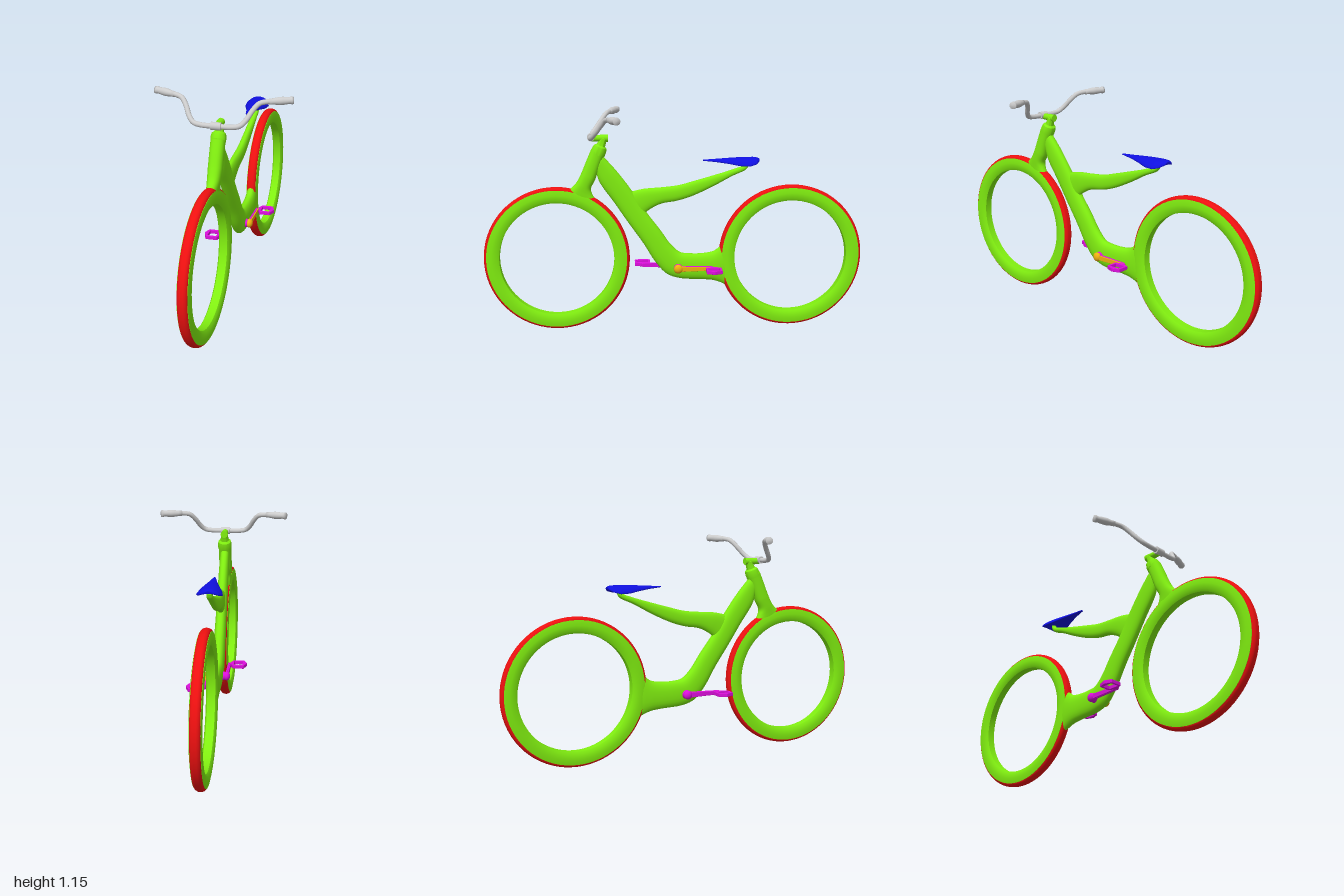
import * as THREE from 'three';
import { toCreasedNormals } from 'three/addons/utils/BufferGeometryUtils.js';

const V = (x, y, z) => new THREE.Vector3(x, y, z);
const mat = (color) => new THREE.MeshStandardMaterial({ color });
const green = mat(0x80ee10), red = mat(0xee1010), blue = mat(0x1010e0);
const magenta = mat(0xdd10dd), orange = mat(0xeeb010), grey = mat(0xcccccc);

function part(name, geometry, material, parent, pos = [0, 0, 0]) {
  const mesh = new THREE.Mesh(geometry, material);
  mesh.name = name;
  mesh.position.set(...pos);
  parent.add(mesh);
  return mesh;
}

// Smooth body through oval sections. Each station is
// [top z, top y, bottom z, bottom y, half width, droop of the sides].
function loft(stations, steps = 48, sides = 24) {
  const curve = (pick) => new THREE.CatmullRomCurve3(stations.map(pick), false, 'centripetal');
  const tops = curve((s) => V(0, s[1], s[0]));
  const bottoms = curve((s) => V(0, s[3], s[2]));
  const at = (k, t) => {
    const f = t * (stations.length - 1), i = Math.min(Math.floor(f), stations.length - 2);
    return THREE.MathUtils.lerp(stations[i][k] ?? 0, stations[i + 1][k] ?? 0, f - i);
  };
  const pos = [], index = [];
  for (let i = 0; i <= steps; i++) {
    const t = i / steps, top = tops.getPoint(t), bottom = bottoms.getPoint(t);
    const mid = top.clone().add(bottom).multiplyScalar(0.5), half = top.clone().sub(mid);
    for (let j = 0; j < sides; j++) {
      const a = (j / sides) * Math.PI * 2, c = Math.cos(a), s = Math.sin(a);
      const k = Math.sign(c) * Math.abs(c) ** 0.85, w = Math.sign(s) * Math.abs(s) ** 0.85;
      pos.push(w * at(4, t), mid.y + half.y * k - at(5, t) * s * s, mid.z + half.z * k);
    }
  }
  for (let i = 0; i < steps; i++) {
    for (let j = 0; j < sides; j++) {
      const a = i * sides + j, b = i * sides + (j + 1) % sides;
      index.push(a, b, a + sides, b, b + sides, a + sides);
    }
  }
  // end caps
  const last = steps * sides;
  for (let j = 1; j < sides - 1; j++) index.push(0, j + 1, j, last, last + j, last + j + 1);
  const geo = new THREE.BufferGeometry();
  geo.setAttribute('position', new THREE.Float32BufferAttribute(pos, 3));
  geo.setIndex(index);
  geo.computeVertexNormals();
  return geo;
}

// Ring about the x axis from a closed [radius, x] profile
function ring(profile) {
  const pts = [...profile, profile[0]].map(([r, x]) => new THREE.Vector2(r, x));
  return toCreasedNormals(new THREE.LatheGeometry(pts, 72).rotateZ(Math.PI / 2), 0.6);
}

function wheel(name, z) {
  const group = new THREE.Group();
  group.name = name;
  group.position.set(0, 0.382, z);
  part('rim', ring([[0.3, -0.02], [0.312, -0.027], [0.34, -0.031], [0.367, -0.026],
    [0.367, 0.026], [0.34, 0.031], [0.312, 0.027], [0.3, 0.02]]), green, group);
  const arc = [[0.35, -0.025]];
  for (let i = 0; i <= 10; i++) {
    const a = -Math.PI / 2 + (i / 10) * Math.PI;
    arc.push([0.364 + 0.018 * Math.cos(a), 0.025 * Math.sin(a)]);
  }
  arc.push([0.35, 0.025]);
  part('tread', ring(arc), red, group);
  return group;
}

// Tapered crank arm reaching backwards, extruded outwards along x
function armGeometry(length, r0, r1, depth) {
  const shape = new THREE.Shape();
  shape.absarc(0, 0, r0, Math.PI / 2, Math.PI * 1.5);
  shape.absarc(length, 0, r1, -Math.PI / 2, Math.PI / 2);
  return new THREE.ExtrudeGeometry(shape, { depth, bevelEnabled: true, bevelSize: 0.002,
    bevelThickness: 0.002, bevelSegments: 2, curveSegments: 12 }).rotateY(Math.PI / 2);
}

function crank(name, coverMaterial) {
  const group = new THREE.Group();
  group.name = name;
  group.position.set(0, 0.327, -0.018);
  part('hub', new THREE.CylinderGeometry(0.02, 0.026, 0.03, 24).rotateZ(-Math.PI / 2), magenta, group, [0.033, 0, 0]);
  part('hubCap', new THREE.SphereGeometry(0.024, 24, 12).scale(0.75, 1, 1), coverMaterial, group, [0.05, 0, 0]);
  part('crankArm', armGeometry(0.18, 0.014, 0.009, 0.006), magenta, group, [0.044, 0, 0]);
  part('crankArmCover', armGeometry(0.18, 0.012, 0.008, 0.003), coverMaterial, group, [0.053, 0, 0]);
  part('pedalAxle', new THREE.CylinderGeometry(0.006, 0.006, 0.025, 12).rotateZ(Math.PI / 2), magenta, group, [0.06, 0, -0.18]);
  // six-sided pedal with an open middle
  const outline = [[0.044, 0], [0.029, 0.039], [-0.029, 0.039], [-0.044, 0], [-0.029, -0.039], [0.029, -0.039]];
  const hole = [[0.025, 0.032], [0.025, -0.032], [-0.025, -0.032], [-0.025, 0.032]];
  const toPoints = (list) => list.map(([x, y]) => new THREE.Vector2(x, y));
  const shape = new THREE.Shape(toPoints(outline));
  shape.holes.push(new THREE.Path(toPoints(hole)));
  const pedal = new THREE.ExtrudeGeometry(shape, { depth: 0.014, bevelSize: 0.002, bevelThickness: 0.003, bevelSegments: 2 });
  part('pedal', pedal.translate(0, 0, -0.007).rotateX(Math.PI / 2), magenta, group, [0.098, 0, -0.185]);
  return group;
}

export function createModel() {
  const bike = new THREE.Group();
  bike.name = 'bicycle';
  bike.add(wheel('frontWheel', 0.618), wheel('rearWheel', -0.618));

  // Main frame from the head down to the cranks and back into the rear rim
  part('mainFrame', loft([
    [0.375, 0.93, 0.41, 0.86, 0.024], [0.3, 0.845, 0.39, 0.79, 0.027],
    [0.225, 0.745, 0.315, 0.68, 0.028], [0.15, 0.63, 0.245, 0.575, 0.029],
    [0.075, 0.53, 0.165, 0.46, 0.031], [0.02, 0.452, 0.1, 0.355, 0.032],
    [-0.03, 0.408, 0.04, 0.29, 0.032], [-0.08, 0.4, -0.03, 0.265, 0.031],
    [-0.15, 0.4, -0.15, 0.257, 0.03], [-0.21, 0.412, -0.21, 0.25, 0.03],
    [-0.245, 0.44, -0.26, 0.232, 0.029], [-0.273, 0.48, -0.297, 0.21, 0.027],
  ], 72), green, bike);

  // Cantilevered seat support
  part('seatSupport', loft([
    [0.23, 0.735, 0.18, 0.6, 0.02], [0.16, 0.75, 0.13, 0.64, 0.022],
    [0.07, 0.757, 0.07, 0.67, 0.022], [-0.02, 0.767, -0.01, 0.684, 0.021],
    [-0.1, 0.788, -0.09, 0.708, 0.02], [-0.2, 0.816, -0.2, 0.758, 0.018],
    [-0.3, 0.846, -0.3, 0.812, 0.017], [-0.365, 0.872, -0.378, 0.85, 0.016],
    [-0.375, 0.892, -0.392, 0.878, 0.014],
  ]), green, bike);

  // Saddle with drooping sides
  part('saddle', loft([
    [-0.15, 0.9, -0.15, 0.894, 0.006, 0], [-0.22, 0.904, -0.22, 0.888, 0.02, 0.004],
    [-0.28, 0.908, -0.28, 0.885, 0.037, 0.012], [-0.34, 0.911, -0.34, 0.884, 0.057, 0.023],
    [-0.39, 0.912, -0.39, 0.886, 0.064, 0.026], [-0.425, 0.911, -0.425, 0.888, 0.05, 0.017],
    [-0.442, 0.905, -0.442, 0.893, 0.022, 0.004],
  ]), blue, bike);

  // Fork and head tube, flaring into the front rim
  part('fork', loft([
    [0.36, 0.935, 0.428, 0.962, 0.035], [0.385, 0.872, 0.455, 0.9, 0.035],
    [0.412, 0.8, 0.485, 0.83, 0.035], [0.434, 0.752, 0.512, 0.782, 0.032],
    [0.425, 0.72, 0.54, 0.756, 0.029], [0.395, 0.672, 0.575, 0.736, 0.026],
  ]), green, bike);
  const collar = [[0, 0], [0.037, 0], [0.038, 0.025], [0.034, 0.042], [0.023, 0.05],
    [0.02, 0.07], [0.02, 0.088], [0.014, 0.096], [0, 0.098]];
  const collarGeo = new THREE.LatheGeometry(collar.map(([r, y]) => new THREE.Vector2(r, y)), 32);
  part('headCollar', toCreasedNormals(collarGeo, 0.6), green, bike, [0, 0.932, 0.397]).rotation.x = -0.37;

  // Stem and bar clamp
  part('stem', new THREE.CylinderGeometry(0.016, 0.019, 0.085, 20).rotateX(Math.PI / 2), green, bike, [0, 1.016, 0.385]);
  part('barClamp', new THREE.CylinderGeometry(0.019, 0.019, 0.05, 24).rotateZ(Math.PI / 2), grey, bike, [0, 1.022, 0.43]);

  // Swept handlebar
  const half = [[0.07, 1.022, 0.43], [0.112, 1.03, 0.424], [0.138, 1.055, 0.405],
    [0.16, 1.092, 0.378], [0.188, 1.123, 0.354], [0.225, 1.131, 0.338], [0.33, 1.134, 0.298]];
  const bar = [...half.map(([x, y, z]) => V(-x, y, z)).reverse(), V(0, 1.022, 0.43), ...half.map((p) => V(...p))];
  part('handlebar', new THREE.TubeGeometry(new THREE.CatmullRomCurve3(bar, false, 'centripetal'), 96, 0.0125, 14), grey, bike);

  // Grips, thicker in the middle
  const grip = [[0, 0], [0.014, 0], [0.015, 0.02], [0.019, 0.045], [0.019, 0.065],
    [0.016, 0.095], [0.019, 0.105], [0.018, 0.114], [0, 0.115]];
  for (const side of [1, -1]) {
    const mesh = part(side > 0 ? 'leftGrip' : 'rightGrip',
      new THREE.LatheGeometry(grip.map(([r, y]) => new THREE.Vector2(r, y)), 20), grey, bike, [side * 0.231, 1.131, 0.336]);
    mesh.quaternion.setFromUnitVectors(V(0, 1, 0), V(side * 0.105, 0.003, -0.04).normalize());
  }

  // Cranks and pedals, half a turn apart
  const leftCrank = crank('leftCrank', orange);
  const rightCrank = crank('rightCrank', magenta);
  rightCrank.rotation.y = Math.PI;
  bike.add(leftCrank, rightCrank);
  return bike;
}
